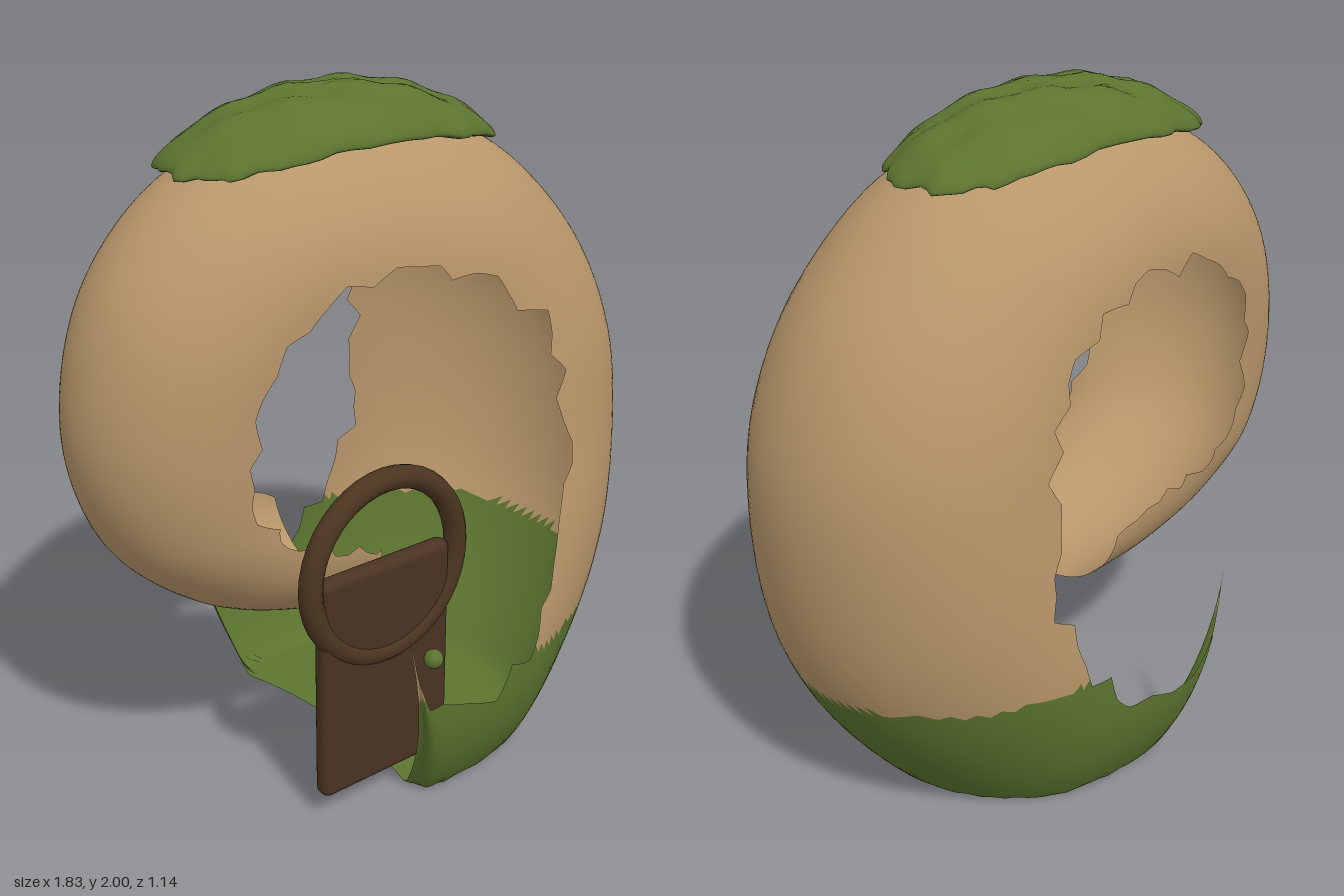
import * as THREE from 'three';
import { RoundedBoxGeometry } from 'three/addons/geometries/RoundedBoxGeometry.js';

const mat = (name, color, side = THREE.FrontSide) => {
  const m = new THREE.MeshStandardMaterial({ color, side });
  m.name = name;
  return m;
};

// Curl stations: rim x, rim y, outer x, outer y, half width, z centre
const STATIONS = [
  [-0.27, 0.57, -0.09, -0.24, 0.555, 0],
  [-0.19, 0.37, 0.0, -0.26, 0.57, 0],
  [0.13, 0.36, 0.32, -0.18, 0.56, 0],
  [0.28, 0.53, 0.64, 0.14, 0.54, -0.005],
  [0.37, 0.75, 0.84, 0.5, 0.515, -0.01],
  [0.39, 0.95, 0.91, 0.92, 0.49, -0.02],
  [0.38, 1.2, 0.87, 1.25, 0.465, -0.025],
  [0.27, 1.39, 0.7, 1.57, 0.44, -0.03],
  [0.07, 1.52, 0.38, 1.83, 0.42, -0.035],
  [-0.15, 1.53, -0.08, 1.92, 0.39, -0.04],
  [-0.38, 1.46, -0.52, 1.81, 0.36, -0.05],
  [-0.53, 1.27, -0.81, 1.54, 0.335, -0.05],
  [-0.55, 1.05, -0.915, 1.16, 0.32, -0.05],
  [-0.5, 0.88, -0.83, 0.82, 0.31, -0.05],
  [-0.38, 0.8, -0.6, 0.6, 0.3, -0.04],
  [-0.24, 0.75, -0.32, 0.49, 0.29, -0.03],
  [-0.1, 0.69, -0.07, 0.46, 0.26, -0.03],
];

function seeded(seed) {
  return () => (seed = (seed * 16807) % 2147483647) / 2147483647;
}

// Open half-tube swept round the curl, flattened where it meets the ground
function shellGeometry() {
  const curve = k => new THREE.CatmullRomCurve3(
    STATIONS.map(s => new THREE.Vector3(s[k], s[k + 1], 0)), false, 'catmullrom', 0.5);
  const rim = curve(0), outer = curve(2), size = curve(4);
  const N = 170, M = 49, pos = [], tan = [], green = [];
  const rand = seeded(77);
  const jag = Array.from({ length: 60 }, () => [rand(), rand()]);
  for (let i = 0; i <= N; i++) {
    const u = i / N;
    const p = rim.getPoint(u), o = outer.getPoint(u), s = size.getPoint(u);
    // ragged rim on either side
    const k = Math.floor(i / 3), f = (i % 3) / 3;
    const edge = n => -0.06 + 0.17 * THREE.MathUtils.lerp(jag[k][n], jag[k + 1][n], f);
    const t0 = edge(0), t1 = Math.PI - edge(1);
    for (let j = 0; j < M; j++) {
      const t = t0 + (t1 - t0) * j / (M - 1);
      const w = Math.sin(t);
      pos.push(p.x + (o.x - p.x) * w, Math.max(0, p.y + (o.y - p.y) * w), s.y + s.x * Math.cos(t));
    }
  }
  const addTri = (...t) => {
    const y = t.reduce((a, v) => a + pos[v * 3 + 1], 0) / 3;
    const z = t.reduce((a, v) => a + pos[v * 3 + 2], 0) / 3;
    (y < 0.43 - 0.07 * z ? green : tan).push(...t);
  };
  for (let i = 0; i < N; i++) {
    for (let j = 0; j < M - 1; j++) {
      const a = i * M + j, b = a + 1, c = a + M, d = c + 1;
      addTri(a, b, c);
      addTri(b, d, c);
    }
  }
  const g = new THREE.BufferGeometry();
  g.setAttribute('position', new THREE.Float32BufferAttribute(pos, 3));
  g.setIndex([...tan, ...green]);
  g.addGroup(0, tan.length, 0);
  g.addGroup(tan.length, green.length, 1);
  g.computeVertexNormals();
  return g;
}

// Lumpy cushion that drapes over the top of the curl
function mossGeometry() {
  const g = new THREE.SphereGeometry(1, 72, 36);
  const p = g.attributes.position;
  const box = v => Math.sign(v) * Math.pow(Math.abs(v), 0.8);
  for (let i = 0; i < p.count; i++) {
    const X = p.getX(i), Y = p.getY(i), Z = p.getZ(i);
    const a = Math.atan2(Z, X);
    const wave = 1 + 0.018 * Math.sin(a * 13) + 0.014 * Math.sin(a * 23 + 1);
    const dx = 0.53 * box(X) * wave, dz = 0.255 * box(Z) * wave;
    const bump = 0.006 * (Math.sin(dx * 31 + dz * 17) + Math.sin(dz * 43 - dx * 19));
    const base = 1.93 - 0.42 * dx * dx - 0.9 * dz * dz;
    p.setXYZ(i, dx - 0.065, Math.min(2, base + (Y > 0 ? 0.068 : 0.045) * Y + bump * Math.max(0, Y)), dz - 0.035);
  }
  g.computeVertexNormals();
  return g;
}

export function createModel() {
  const group = new THREE.Group();
  const tan = mat('tan shell', 0xb8966a, THREE.DoubleSide);
  const green = mat('moss green', 0x5c742f, THREE.DoubleSide);
  const wood = mat('dark wood', 0x4a3322);
  const ringWood = mat('ring wood', 0x4b3520);

  const add = (name, geometry, material, x = 0, y = 0, z = 0) => {
    const m = new THREE.Mesh(geometry, material);
    m.name = name;
    m.position.set(x, y, z);
    group.add(m);
    return m;
  };

  add('curledShell', shellGeometry(), [tan, green]);
  add('mossCap', mossGeometry(), green);

  // Door with its round frame and knob
  add('door', new RoundedBoxGeometry(0.46, 0.68, 0.06, 3, 0.025), wood, -0.21, 0.41, 0.365);
  add('doorRing', new THREE.TorusGeometry(0.262, 0.034, 12, 40), ringWood, -0.208, 0.73, 0.372);
  add('doorKnob', new THREE.SphereGeometry(0.029, 16, 12), green, -0.077, 0.415, 0.435);

  // Round window inside the back wall
  add('windowRing', new THREE.TorusGeometry(0.128, 0.022, 10, 32), ringWood, 0.2, 1.48, -0.25);
  add('windowPane', new THREE.CircleGeometry(0.128, 32), tan, 0.2, 1.48, -0.25);

  return group;
}
